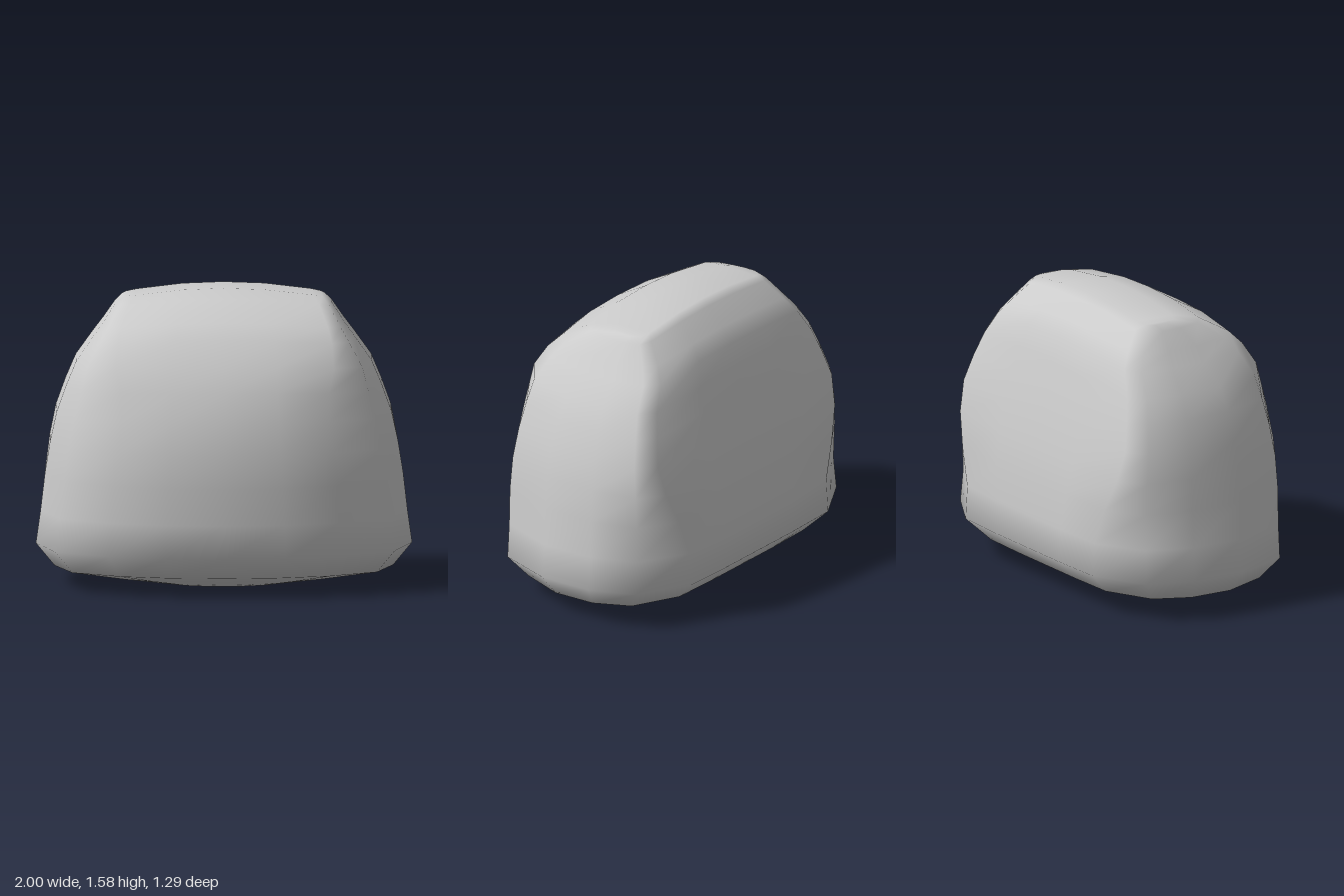
import * as THREE from 'three';

// Half outlines from front centre round the left side to back centre, as unit (x, z)
const OVAL = [[0, 1], [0.32, 0.965], [0.62, 0.84], [0.9, 0.575], [1, 0.09], [0.985, -0.37], [0.88, -0.74], [0.6, -0.985], [0.3, -1], [0, -1]];
const BOXY = [[0, 1], [0.4, 0.99], [0.88, 0.9], [0.97, 0.7], [1, 0.12], [1, -0.4], [0.96, -0.82], [0.86, -0.97], [0.4, -1], [0, -1]];

// Levels from bottom to top: height, half width, front z, back z, drop at the sides
const LEVELS = [
  [0, 0.32, 0.16, -0.26, 0],
  [0.04, 0.59, 0.3, -0.36, 0],
  [0.097, 0.9, 0.51, -0.52, 0],
  [0.22, 1, 0.635, -0.645, 0],
  [0.4, 0.975, 0.64, -0.635, 0],
  [0.6, 0.952, 0.65, -0.622, 0],
  [0.78, 0.925, 0.642, -0.592, 0.01],
  [0.95, 0.89, 0.612, -0.555, 0.02],
  [1.1, 0.838, 0.56, -0.517, 0.025],
  [1.23, 0.785, 0.495, -0.48, 0.03],
  [1.36, 0.695, 0.395, -0.443, 0.035],
  [1.44, 0.64, 0.31, -0.385, 0.04],
  [1.54, 0.575, 0.13, -0.295, 0.045],
  [1.575, 0.54, -0.03, -0.26, 0.05],
];

function bodyGeometry() {
  const half = OVAL.length - 1, n = half * 2;
  const positions = [], index = [];
  const quad = (a, b, c, d) => index.push(a, b, c, a, c, d);

  // The rounded plan turns boxy towards the arched top, earlier behind than in front
  for (const [y, w, zf, zb, drop] of LEVELS) {
    const front = THREE.MathUtils.smoothstep(y, 0.95, 1.55);
    const back = THREE.MathUtils.smoothstep(y, 0.3, 1);
    for (let j = 0; j < n; j++) {
      const i = j <= half ? j : n - j, side = j <= half ? 1 : -1;
      const t = i < half / 2 ? front : back;
      const ux = THREE.MathUtils.lerp(OVAL[i][0], BOXY[i][0], t);
      const uz = THREE.MathUtils.lerp(OVAL[i][1], BOXY[i][1], t);
      positions.push(side * ux * w, y - drop * ux * ux, (zf + zb) / 2 + uz * (zf - zb) / 2);
    }
  }

  // Side wall
  for (let r = 0; r < LEVELS.length - 1; r++) {
    for (let j = 0; j < n; j++) {
      const a = r * n + j, b = r * n + (j + 1) % n;
      quad(a, b, b + n, a + n);
    }
  }

  // Top and bottom, bridged from front to back in strips
  const top = (LEVELS.length - 1) * n;
  for (let k = -4; k < 4; k++) {
    const f0 = (k + n) % n, f1 = (k + 1 + n) % n, b0 = half - k, b1 = half - k - 1;
    quad(top + f0, top + f1, top + b1, top + b0);
    quad(f0, b0, b1, f1);
  }

  const geometry = new THREE.BufferGeometry();
  geometry.setAttribute('position', new THREE.Float32BufferAttribute(positions, 3));
  geometry.setIndex(index);
  geometry.computeVertexNormals();
  return geometry;
}

export function createModel() {
  const group = new THREE.Group();
  const body = new THREE.Mesh(bodyGeometry(), new THREE.MeshStandardMaterial({ color: 0xcccccc }));
  body.name = 'body';
  group.add(body);
  return group;
}
